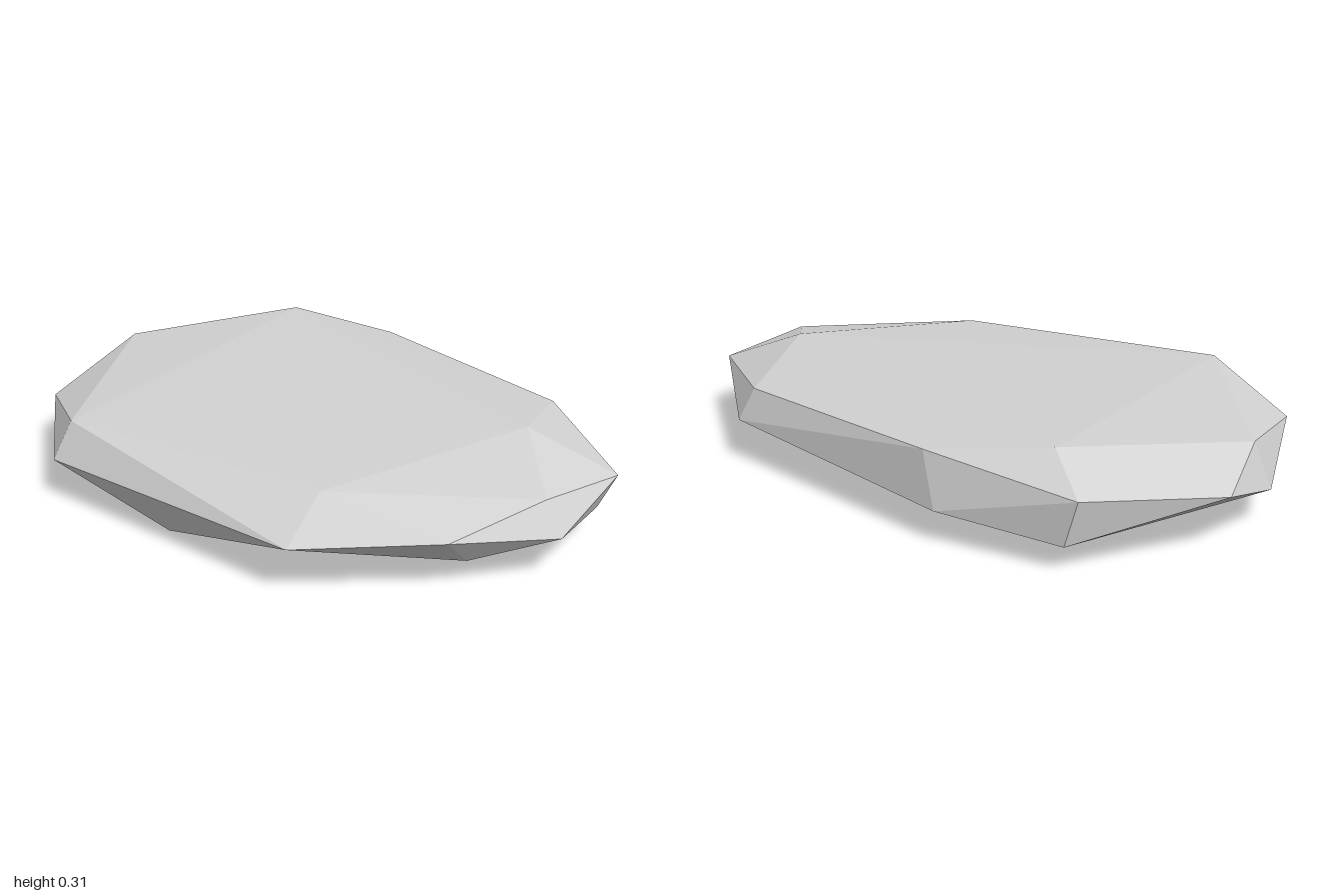
import * as THREE from 'three';
import { ConvexGeometry } from 'three/addons/geometries/ConvexGeometry.js';

// Corners of the faceted stone, ring by ring: [x, y, z]
const crown = [
  [-0.56, 0.308, -0.61], [0.72, 0.306, -0.09], [0.42, 0.245, 0.545],
  [-0.52, 0.245, 0.595], [-0.95, 0.25, -0.14], [-0.19, 0.26, -0.70],
  [0.60, 0.24, -0.48], [0.94, 0.232, 0.19], [0.995, 0.2, -0.15],
];
const girdle = [
  [-0.69, 0.215, -0.72], [-0.98, 0.17, -0.38], [-1.0, 0.105, -0.12],
  [-0.88, 0.17, 0.33], [-0.535, 0.132, 0.665], [0.45, 0.15, 0.74],
  [0.80, 0.166, 0.475], [1.0, 0.133, 0.20], [0.64, 0.137, -0.515],
  [-0.25, 0.10, -0.74],
];
const base = [
  [-0.05, 0.03, 0.665], [0.80, 0.073, 0.37], [0.95, 0.095, -0.12],
  [-0.02, 0.0, -0.47], [-0.65, 0.077, -0.72],
];

export function createModel() {
  const group = new THREE.Group();
  group.name = 'flatStone';

  const paleGrey = new THREE.MeshStandardMaterial({ color: 0xd2d2d2 });
  paleGrey.name = 'paleGrey';

  // One convex slab wrapped around the three rings of corners, with flat facets
  const corners = [...crown, ...girdle, ...base].map((p) => new THREE.Vector3(...p));
  const stone = new THREE.Mesh(new ConvexGeometry(corners), paleGrey);
  stone.name = 'stone';
  group.add(stone);

  return group;
}
